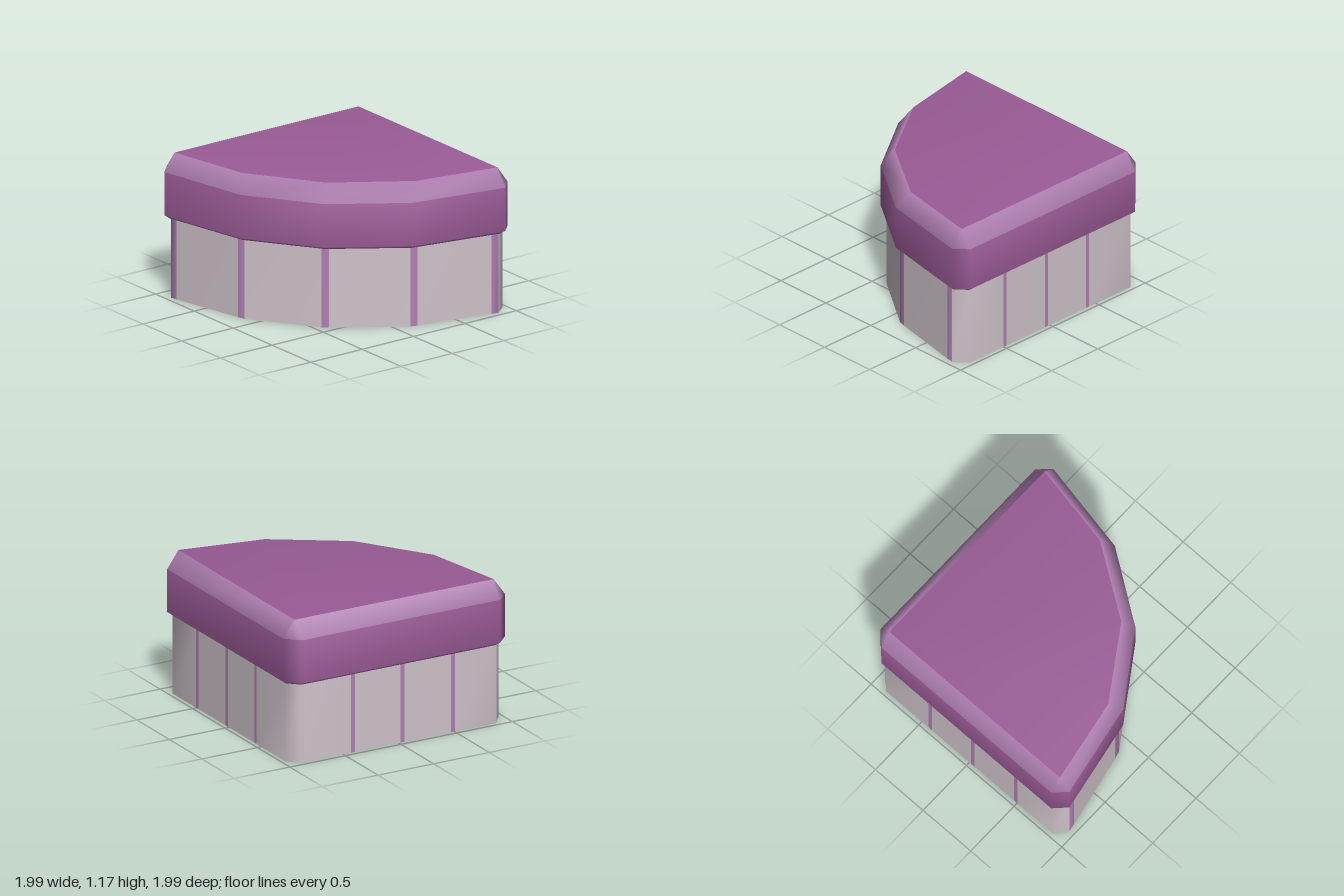
import * as THREE from 'three';

const plum = new THREE.MeshStandardMaterial({ color: 0x9a5b96, side: THREE.DoubleSide });
plum.name = 'plum';
const lilac = new THREE.MeshStandardMaterial({ color: 0xb080b2, side: THREE.DoubleSide });
lilac.name = 'lilac';
const linen = new THREE.MeshStandardMaterial({ color: 0xcec4ca, side: THREE.DoubleSide });
linen.name = 'linen';

// Outlines are given for half the plan and mirrored across the x = z diagonal.
// Each point is [x, z, material of the wall that starts there].
function mirrorPlan(half) {
  const other = half.map(([x, z], i) => [z, x, i ? half[i - 1][2] : 0]).reverse();
  return [...half, ...other];
}

// Joins rings of equal point count into walls; faces are grouped by material.
function loft(rings, heights, materialOf, capMaterial) {
  const n = rings[0].length;
  const positions = rings.flatMap((ring, r) => ring.flatMap(([x, z]) => [x, heights[r], z]));
  const index = [];
  const geometry = new THREE.BufferGeometry();
  for (let r = 0; r < rings.length - 1; r++) {
    for (let i = 0; i < n; i++) {
      const j = (i + 1) % n;
      const a = r * n + i, b = r * n + j;
      geometry.addGroup(index.length, 6, materialOf(r, i));
      index.push(a, a + n, b, b, a + n, b + n);
    }
  }
  if (capMaterial !== undefined) {
    const base = (rings.length - 1) * n;
    geometry.addGroup(index.length, (n - 2) * 3, capMaterial);
    for (let i = 1; i < n - 1; i++) index.push(base, base + i + 1, base + i);
  }
  geometry.setAttribute('position', new THREE.Float32BufferAttribute(positions, 3));
  geometry.setIndex(index);
  geometry.computeVertexNormals();
  return geometry;
}

// Drops the repeated point where the halves meet on the diagonal.
const single = (plan, i) => plan.filter((_, k) => k !== i);

function createModel() {
  const group = new THREE.Group();

  // Cushion: open shell with a tucked lower lip and a bevelled top edge
  const outer = single(mirrorPlan([[-0.89, -1], [0.89, -1], [0.99, -0.9], [0.84, -0.115], [0.452, 0.452]]), 4);
  const lip = single(mirrorPlan([[-0.875, -0.965], [0.87, -0.965], [0.955, -0.87], [0.807, -0.13], [0.425, 0.425]]), 4);
  const top = single(mirrorPlan([[-0.9, -0.9], [0.89, -0.9], [0.89, -0.9], [0.76, -0.2], [0.375, 0.375]]), 4);
  const cushion = new THREE.Mesh(
    loft([lip, outer, outer, top], [0.648, 0.675, 1.03, 1.17], (r) => (r === 2 ? 1 : 0), 0),
    [plum, lilac]
  );
  cushion.name = 'cushion';
  group.add(cushion);

  // Skirt: thin open wall with narrow vertical stripes
  const half = [[-0.875, -0.965, 0]];
  for (const x of [-0.41, 0.035, 0.485]) {
    half.push([x - 0.018, -0.965, 1], [x + 0.018, -0.965, 0]);
  }
  half.push(
    [0.87, -0.965, 0], [0.955, -0.86, 1], [0.945, -0.8, 0],
    [0.815, -0.18, 1], [0.8, -0.12, 0], [0.44, 0.4, 1]
  );
  const plan = mirrorPlan(half);
  const skirt = new THREE.Mesh(
    loft([plan, plan], [0, 0.65], (r, i) => plan[i][2]),
    [linen, lilac]
  );
  skirt.name = 'skirt';
  group.add(skirt);

  return group;
}

export { createModel };
